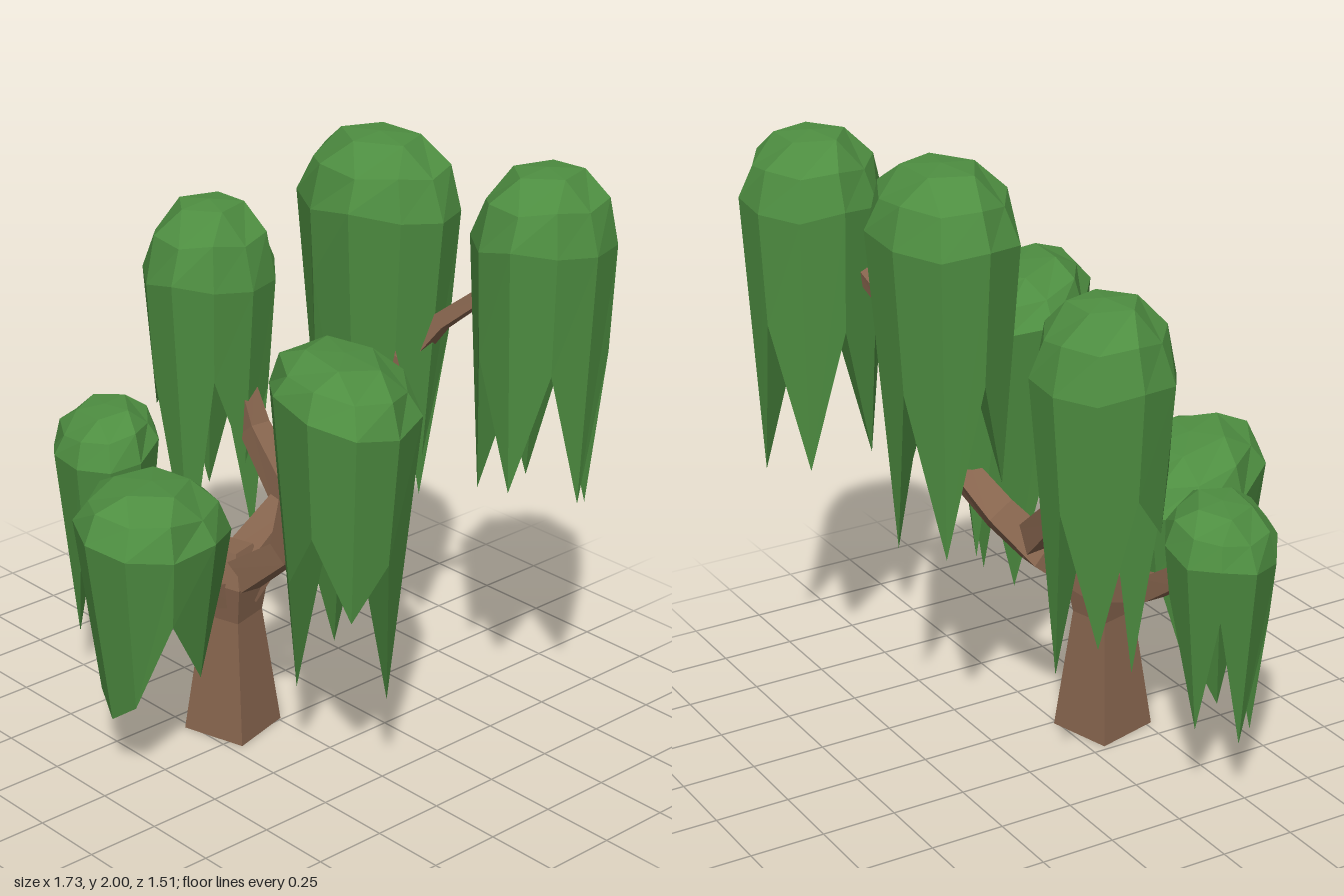
import * as THREE from 'three';

const bark = new THREE.MeshStandardMaterial({ color: 0x87654e });
bark.name = 'bark brown';
const leaf = new THREE.MeshStandardMaterial({ color: 0x4e8e41 });
leaf.name = 'leaf green';

// Joins equal-length rings of points with flat facets, skipping collapsed triangles
function loft(rings, material, name) {
  const pos = [];
  const tri = (a, b, c) => {
    const area = b.clone().sub(a).cross(c.clone().sub(a)).length();
    if (area > 1e-7) for (const p of [a, b, c]) pos.push(p.x, p.y, p.z);
  };
  for (let k = 0; k + 1 < rings.length; k++) {
    const u = rings[k], l = rings[k + 1], n = u.length;
    for (let i = 0; i < n; i++) {
      const j = (i + 1) % n;
      tri(l[i], u[i], l[j]);
      tri(u[i], u[j], l[j]);
    }
  }
  const geo = new THREE.BufferGeometry();
  geo.setAttribute('position', new THREE.Float32BufferAttribute(pos, 3));
  geo.computeVertexNormals();
  const mesh = new THREE.Mesh(geo, material);
  mesh.name = name;
  return mesh;
}

// Four-sided tapering limb along [x, y, z, radius] stations
function limb(name, stations, ref) {
  const pts = stations.map(s => new THREE.Vector3(s[0], s[1], s[2]));
  const rings = pts.map((p, k) => {
    const dir = pts[Math.min(k + 1, pts.length - 1)].clone().sub(pts[Math.max(k - 1, 0)]).normalize();
    const side = new THREE.Vector3().crossVectors(dir, ref).normalize();
    const up = new THREE.Vector3().crossVectors(side, dir);
    return [0, 1, 2, 3].map(i => {
      const a = Math.PI / 4 + i * Math.PI / 2, r = stations[k][3];
      return p.clone().addScaledVector(side, r * Math.cos(a)).addScaledVector(up, r * Math.sin(a));
    });
  });
  const cap = p => Array.from({ length: 4 }, () => p.clone());
  // Rings run tip to base so that facets face outward
  const all = [cap(pts[0]), ...rings, cap(pts[pts.length - 1])].reverse();
  return loft(all, bark, name);
}

// Domed crown with a five-sided top and a ragged hanging hem, closed by a hollow underside
function crown(name, o) {
  const n = o.hem.length;
  const low = Math.min(...o.hem), high = Math.max(...o.hem);
  const c = Math.cos(o.turn), s = Math.sin(o.turn);
  const [slopeX, slopeZ] = o.slope;
  const ring = (scale, height, { paired = false, sloped = true } = {}) => Array.from({ length: n }, (_, i) => {
    const a = (paired ? i - i % 2 + 0.5 : i) / n * Math.PI * 2;
    const h = height(i), k = scale(h, i);
    const u = o.rx * 1.02 * k * Math.cos(a), v = o.rz * 1.02 * k * Math.sin(a);
    const x = u * c - v * s, z = u * s + v * c;
    return new THREE.Vector3(o.x + x, h + (sloped ? slopeX * x + slopeZ * z : 0), o.z + z);
  });
  const drop = o.top - o.shoulder;
  return loft([
    ring(() => 0, () => o.top),
    ring(() => 0.5, () => o.top - drop * 0.05, { paired: true }),
    ring((h, i) => (i % 2 ? 0.84 : 0.8), i => o.top - drop * (i % 2 ? 0.4 : 0.48)),
    ring((h, i) => (i % 3 ? 1 : 0.97), i => o.shoulder + (i % 3 - 1) * 0.015),
    ring(h => 1 - (1 - o.taper) * (o.shoulder - h) / (o.shoulder - low), i => o.hem[i], { sloped: false }),
    ring(() => 0, () => high + (o.shoulder - high) * 0.4),
  ], leaf, name);
}

export function createModel() {
  const tree = new THREE.Group();
  tree.name = 'tree';

  // Trunk: square tapering stem, flared crotch and blunt top
  const trunk = new THREE.Group();
  trunk.name = 'trunk';
  for (const [y0, y1, r0, r1] of [[0, 0.42, 0.163, 0.1], [0.42, 0.55, 0.1, 0.125], [0.55, 0.66, 0.125, 0.07]]) {
    const geo = new THREE.CylinderGeometry(r1, r0, y1 - y0, 4).toNonIndexed();
    geo.computeVertexNormals();
    const part = new THREE.Mesh(geo, bark);
    part.name = 'trunkSection';
    part.position.set(-0.09, (y0 + y1) / 2, 0.13);
    part.rotation.y = -Math.PI / 6;
    trunk.add(part);
  }
  tree.add(trunk);

  // Limbs
  const X = new THREE.Vector3(1, 0, 0), Z = new THREE.Vector3(0, 0, 1);
  tree.add(
    limb('rightLowLimb', [[-0.09, 0.52, 0.13, 0.075], [-0.34, 0.6, 0.155, 0.055], [-0.5, 0.71, 0.17, 0.05], [-0.62, 0.85, 0.2, 0.03]], Z),
    limb('leftLimb', [[-0.09, 0.53, 0.13, 0.085], [0.17, 0.73, 0.12, 0.06], [0.225, 0.95, 0.125, 0.055], [0.4, 1.25, 0.13, 0.03]], Z),
    limb('frontLimb', [[-0.09, 0.5, 0.13, 0.07], [-0.07, 0.55, 0.31, 0.055], [-0.08, 0.78, 0.45, 0.03]], X),
    limb('backLimb', [[-0.09, 0.52, 0.13, 0.1], [-0.09, 0.71, -0.12, 0.08], [0.0, 0.82, -0.21, 0.07],
      [0.18, 0.97, -0.29, 0.06], [0.22, 1.3, -0.33, 0.05]], X),
    limb('rightBackLimb', [[-0.07, 0.73, -0.13, 0.07], [-0.3, 0.93, -0.155, 0.055], [-0.36, 1.08, -0.15, 0.045], [-0.47, 1.35, -0.13, 0.03]], Z),
    limb('farBackLimb', [[0.21, 1.26, -0.33, 0.045], [0.33, 1.43, -0.39, 0.036], [0.48, 1.56, -0.45, 0.03], [0.6, 1.68, -0.52, 0.02]], Z),
  );

  // Hanging crowns
  tree.add(
    crown('farBackCrown', { x: 0.635, z: -0.525, rx: 0.223, rz: 0.235, turn: 0, slope: [0.03, 0], top: 1.985, shoulder: 1.76, taper: 0.78,
      hem: [0.92, 1.38, 0.97, 1.4, 0.9, 1.36, 0.88, 1.38, 0.83, 1.4] }),
    crown('topCrown', { x: 0.06, z: -0.37, rx: 0.292, rz: 0.23, turn: 0, slope: [0, 0], top: 2, shoulder: 1.78, taper: 0.62,
      hem: [0.95, 1.35, 0.62, 1.55, 0.98, 1.35, 0.75, 1.3, 0.72, 1.35] }),
    crown('rightBackCrown', { x: -0.495, z: -0.13, rx: 0.222, rz: 0.23, turn: 0, slope: [0, 0], top: 1.69, shoulder: 1.44, taper: 0.62,
      hem: [0.8, 1.12, 0.38, 1.12, 0.95, 1.1, 0.6, 1.05, 0.45, 1.05] }),
    crown('rightLowCrown', { x: -0.645, z: 0.21, rx: 0.245, rz: 0.18, turn: 0.6, slope: [0.08, -0.08], top: 1.01, shoulder: 0.87, taper: 0.6,
      hem: [0.22, 0.7, 0.19, 0.65, 0.23, 0.7, 0.28, 0.72, 0.62, 0.38] }),
    crown('frontCrown', { x: -0.09, z: 0.46, rx: 0.325, rz: 0.24, turn: 0.95, slope: [0, 0.14], top: 0.99, shoulder: 0.83, taper: 0.62,
      hem: [0.3, 0.22, 0.27, 0.52, 0.14, 0.6, 0.38, 0.65, 0.35, 0.6] }),
    crown('leftCrown', { x: 0.435, z: 0.125, rx: 0.335, rz: 0.235, turn: 0.64, slope: [-0.08, 0.16], top: 1.49, shoulder: 1.34, taper: 0.6,
      hem: [0.7, 0.98, 0.76, 0.32, 0.85, 0.4, 0.95, 0.85, 0.33, 0.88] }),
  );
  return tree;
}
